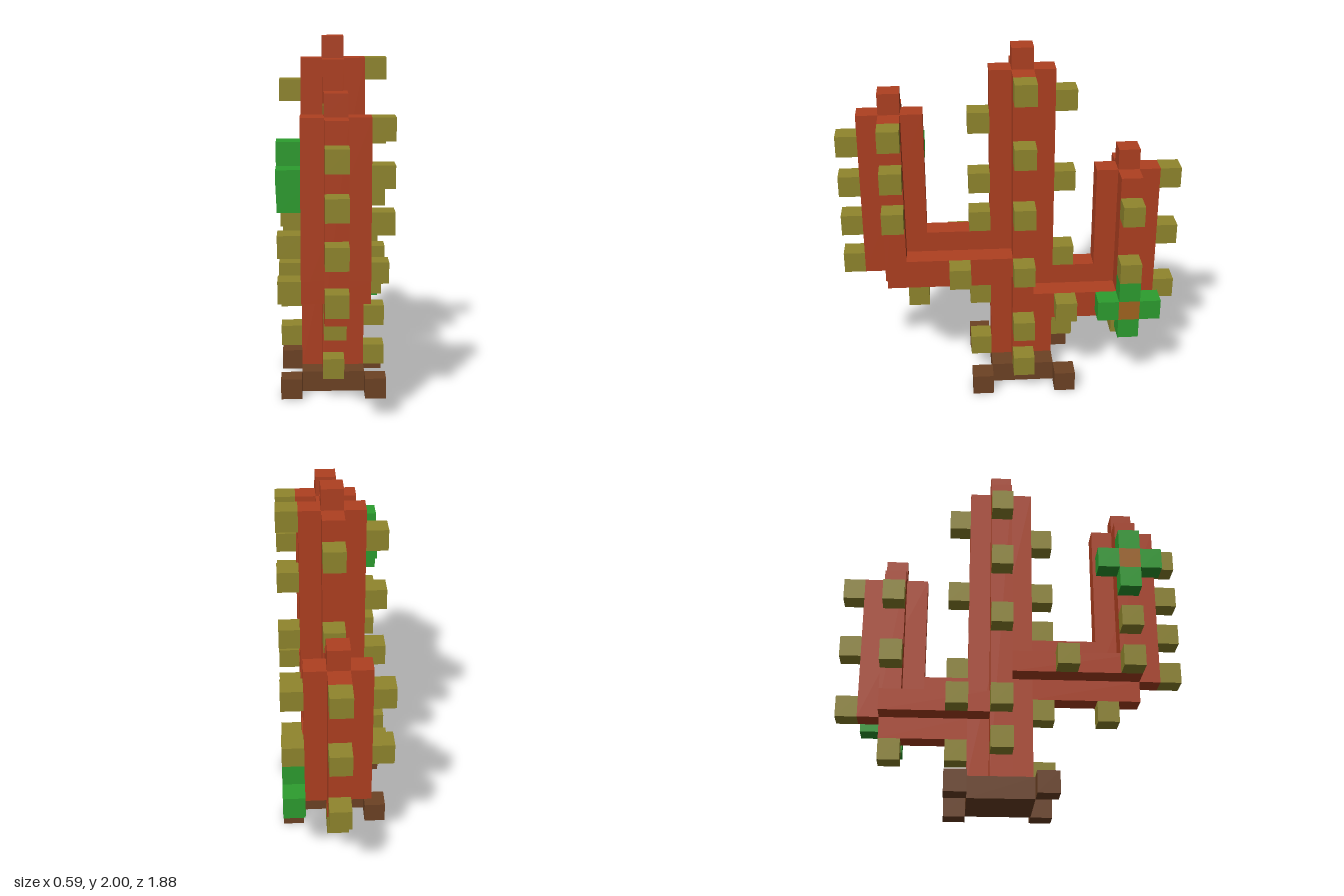
import * as THREE from 'three';

const U = 2 / 17; // edge of one block

const mat = (name, color) => {
  const m = new THREE.MeshStandardMaterial({ color });
  m.name = name;
  return m;
};

export function createModel() {
  const red = mat('cactus red', 0xaf4021);
  const olive = mat('thorn olive', 0x90862d);
  const green = mat('petal green', 0x2d9d2f);
  const brown = mat('soil brown', 0x6d4224);
  const amber = mat('flower centre amber', 0xa2651f);

  const model = new THREE.Group();
  model.name = 'blockCactus';

  const group = (name) => {
    const g = new THREE.Group();
    g.name = name;
    model.add(g);
    return g;
  };

  // Box filling the blocks from (x0,y0,z0) to (x1,y1,z1), both included
  const block = (parent, name, material, [x0, y0, z0], [x1, y1, z1] = [x0, y0, z0]) => {
    const geo = new THREE.BoxGeometry((x1 - x0 + 1) * U, (y1 - y0 + 1) * U, (z1 - z0 + 1) * U);
    const mesh = new THREE.Mesh(geo, material);
    mesh.name = name;
    mesh.position.set(((x0 + x1) / 2) * U, ((y0 + y1 + 1) / 2) * U, ((z0 + z1 + 1) / 2) * U);
    parent.add(mesh);
  };

  // Upright stem with a plus-shaped section and a single block on top
  const stem = (parent, z, y0, y1) => {
    block(parent, 'stemRibsSide', red, [-1, y0, z], [1, y1, z]);
    block(parent, 'stemRibsFrontBack', red, [0, y0, z - 1], [0, y1, z + 1]);
    block(parent, 'stemTip', red, [0, y1 + 1, z]);
  };

  // Base: square slab with a block at each corner
  const base = group('base');
  block(base, 'slab', brown, [-1, 0, -2], [1, 0, 0]);
  for (const x of [-2, 2]) for (const z of [-3, 1]) block(base, 'baseCorner', brown, [x, 0, z]);

  // Trunk
  stem(group('trunk'), -1, 1, 15);

  // Front arm: beam, then stem
  const frontArm = group('frontArm');
  block(frontArm, 'beamSides', red, [-1, 6, 0], [1, 6, 5]);
  block(frontArm, 'beamBottom', red, [0, 5, 1], [0, 5, 5]);
  block(frontArm, 'beamTop', red, [0, 7, 1], [0, 7, 3]);
  stem(frontArm, 5, 6, 13);

  // Back arm, lower and shorter
  const backArm = group('backArm');
  block(backArm, 'beamSides', red, [-1, 4, -6], [1, 4, -2]);
  block(backArm, 'beamBottom', red, [0, 3, -6], [0, 3, -3]);
  block(backArm, 'beamTop', red, [0, 5, -4], [0, 5, -3]);
  stem(backArm, -6, 4, 10);

  // Thorns: column x, z and the heights they sit at
  const thorns = group('thorns');
  const rows = [
    // trunk
    [2, -1, [1, 3, 6, 9, 12, 15]],
    [-2, -1, [2, 4, 8, 11, 14]],
    [0, 1, [1, 4, 8, 10, 13]],
    [0, -3, [2, 6, 10, 14]],
    // front arm
    [2, 5, [9, 11, 13]],
    [-2, 5, [6, 8]],
    [0, 7, [6, 8, 10, 12]],
    [2, 2, [6]],
    [-2, 2, [6]],
    [0, 4, [4]],
    // back arm
    [2, -6, [6, 9]],
    [-2, -6, [6, 9]],
    [0, -8, [4, 7, 10]],
    [2, -3, [4]],
    [-2, -3, [4]],
    [0, -6, [2]],
  ];
  for (const [x, z, heights] of rows) {
    for (const y of heights) block(thorns, 'thorn', olive, [x, y, z]);
  }

  // Flowers: four petals round a centre
  const flower = (name, x, y, z) => {
    const g = group(name);
    block(g, 'flowerCentre', amber, [x, y, z]);
    for (const [dy, dz] of [[1, 0], [-1, 0], [0, 1], [0, -1]]) {
      block(g, 'petal', green, [x, y + dy, z + dz]);
    }
  };
  flower('frontArmFlower', -2, 11, 5);
  flower('backArmFlower', 2, 4, -6);

  return model;
}
